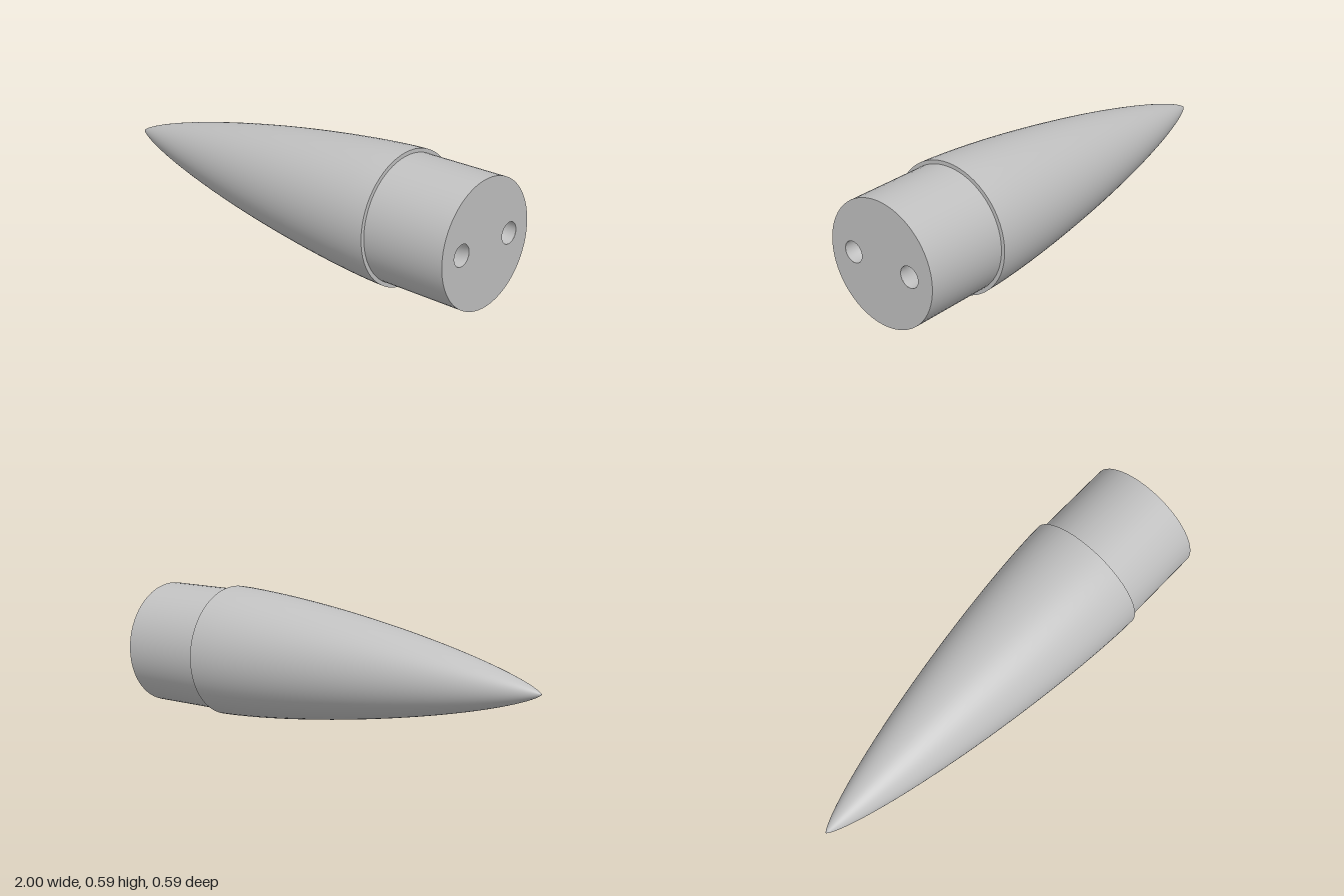
import * as THREE from 'three';

const SEG = 64;
const RADIUS = 0.294;   // widest radius of the cone
const SHOULDER = 0.277; // radius of the plug behind it
const STEP_X = 0.61;    // where cone meets shoulder
const HOLE_R = 0.047;
const HOLE_Z = 0.154;

// Smooth pointed ogive: radius at fraction t of its length
function ogiveRadius(t) {
  const a = Math.acos(1 - 2 * t);
  return RADIUS * Math.sqrt(Math.max(0, a - Math.sin(2 * a) / 2) / Math.PI);
}

// Turns a geometry inside out, for cavity walls
function invert(geometry) {
  geometry.index.array.reverse();
  const n = geometry.attributes.normal;
  for (let i = 0; i < n.count; i++) n.setXYZ(i, -n.getX(i), -n.getY(i), -n.getZ(i));
  return geometry;
}

export function createModel() {
  const model = new THREE.Group();
  model.name = 'noseCone';
  const grey = new THREE.MeshStandardMaterial({ color: 0xc0c0c0 });
  grey.name = 'light grey';

  const add = (name, geometry, x = 0) => {
    const mesh = new THREE.Mesh(geometry, grey);
    mesh.name = name;
    mesh.position.set(x, RADIUS, 0);
    model.add(mesh);
  };

  // Ogive, with points packed closer near the tip
  const profile = [];
  for (let i = 0; i <= 48; i++) {
    const t = (i / 48) ** 2;
    profile.push(new THREE.Vector2(ogiveRadius(t), -1 + t * (STEP_X + 1)));
  }
  add('ogive', new THREE.LatheGeometry(profile, SEG).rotateZ(-Math.PI / 2));

  // Step down to the shoulder
  add('stepRing', new THREE.RingGeometry(SHOULDER, RADIUS, SEG).rotateY(Math.PI / 2), STEP_X);

  // Cylindrical shoulder
  const length = 1 - STEP_X;
  add('shoulder',
    new THREE.CylinderGeometry(SHOULDER, SHOULDER, length, SEG, 1, true).rotateZ(-Math.PI / 2),
    STEP_X + length / 2);

  // Flat end with two round holes
  const end = new THREE.Shape().absarc(0, 0, SHOULDER, 0, Math.PI * 2);
  for (const side of [-1, 1]) {
    end.holes.push(new THREE.Path().absarc(side * HOLE_Z, 0, HOLE_R, 0, Math.PI * 2, true));
  }
  add('endFace', new THREE.ShapeGeometry(end, SEG / 2).rotateY(Math.PI / 2), 1);

  // U-shaped cord tunnel joining the holes inside the shoulder
  const tunnel = new THREE.TorusGeometry(HOLE_Z, HOLE_R, 32, 32, Math.PI);
  add('cordTunnel', invert(tunnel.rotateZ(Math.PI / 2).rotateX(Math.PI / 2)), 1);

  return model;
}
